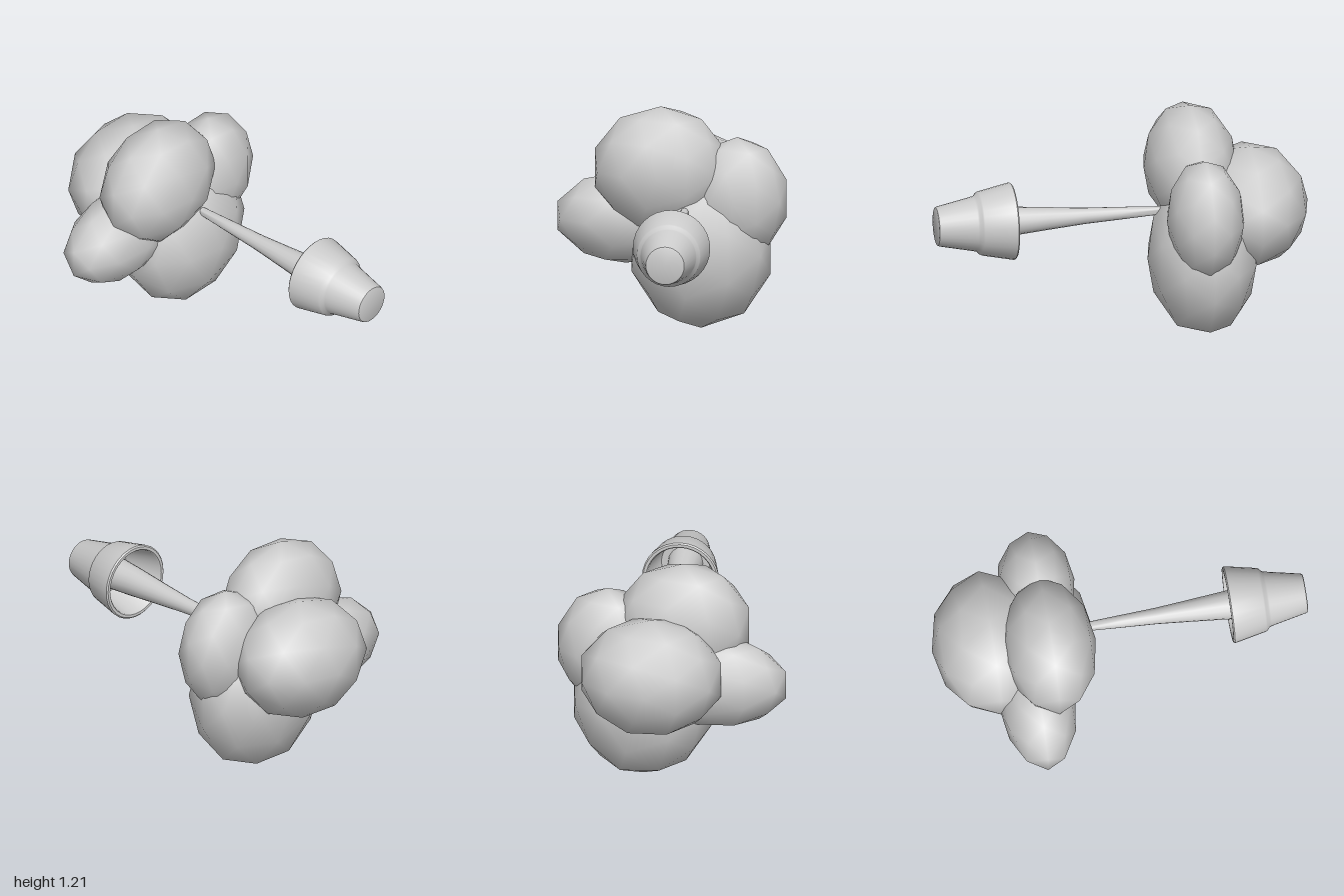
import * as THREE from 'three';
import { toCreasedNormals } from 'three/addons/utils/BufferGeometryUtils.js';

const AXIS_X = 0.087, AXIS_Y = 0.683; // the tree lies along z, its crown towards -z

export function createModel() {
  const group = new THREE.Group();
  group.name = 'pottedTree';
  const material = new THREE.MeshStandardMaterial({ color: 0xcccccc });

  const add = (name, geometry) => {
    const mesh = new THREE.Mesh(geometry, material);
    mesh.name = name;
    group.add(mesh);
    return mesh;
  };

  // Turned part from [radius, z] pairs, listed from the pot's foot towards the crown
  const turned = (name, profile, sides, crease) => {
    const points = profile.map(([r, z]) => new THREE.Vector2(r, -z));
    const geometry = new THREE.LatheGeometry(points, sides).rotateX(-Math.PI / 2);
    add(name, toCreasedNormals(geometry, crease)).position.set(AXIS_X, AXIS_Y, 0);
  };

  // Hollow pot with a stepped collar, rounded rim and inner floor
  turned('pot', [
    [0, 1], [0.095, 1], [0.102, 0.997], [0.106, 0.988],
    [0.146, 0.797], [0.15, 0.787], [0.165, 0.774], [0.17, 0.765],
    [0.204, 0.602], [0.205, 0.592], [0.198, 0.585], [0.183, 0.585],
    [0.177, 0.592], [0.147, 0.755], [0.128, 0.8], [0, 0.8],
  ], 32, 0.7);

  // Tapering trunk
  turned('trunk', [
    [0.093, 0.8], [0.077, 0.59], [0.06, 0.4], [0.043, 0.2], [0.033, 0], [0.022, -0.2], [0.018, -0.4],
  ], 16, 1);

  // Foliage: smooth-shaded low-poly balls with a pole along z
  const ball = new THREE.IcosahedronGeometry(1, 1)
    .rotateX(Math.atan(2 / (1 + Math.sqrt(5))))
    .rotateZ(-Math.PI / 2);
  const foliage = [
    ['foliageTop', [-0.055, 0.87, -0.395], [0.368, 0.34, 0.25]],
    ['foliageBottom', [0.156, 0.439, -0.42], [0.388, 0.434, 0.295]],
    ['foliageLeft', [0.35, 0.722, -0.4], [0.2755, 0.328, 0.207]],
    ['foliageRight', [-0.245, 0.583, -0.49], [0.386, 0.25, 0.205]],
    ['foliageCrown', [0.08, 0.683, -0.69], [0.39, 0.322, 0.31]],
  ];
  for (const [name, centre, radii] of foliage) {
    const mesh = add(name, ball);
    mesh.position.set(...centre);
    mesh.scale.set(...radii);
  }

  return group;
}
